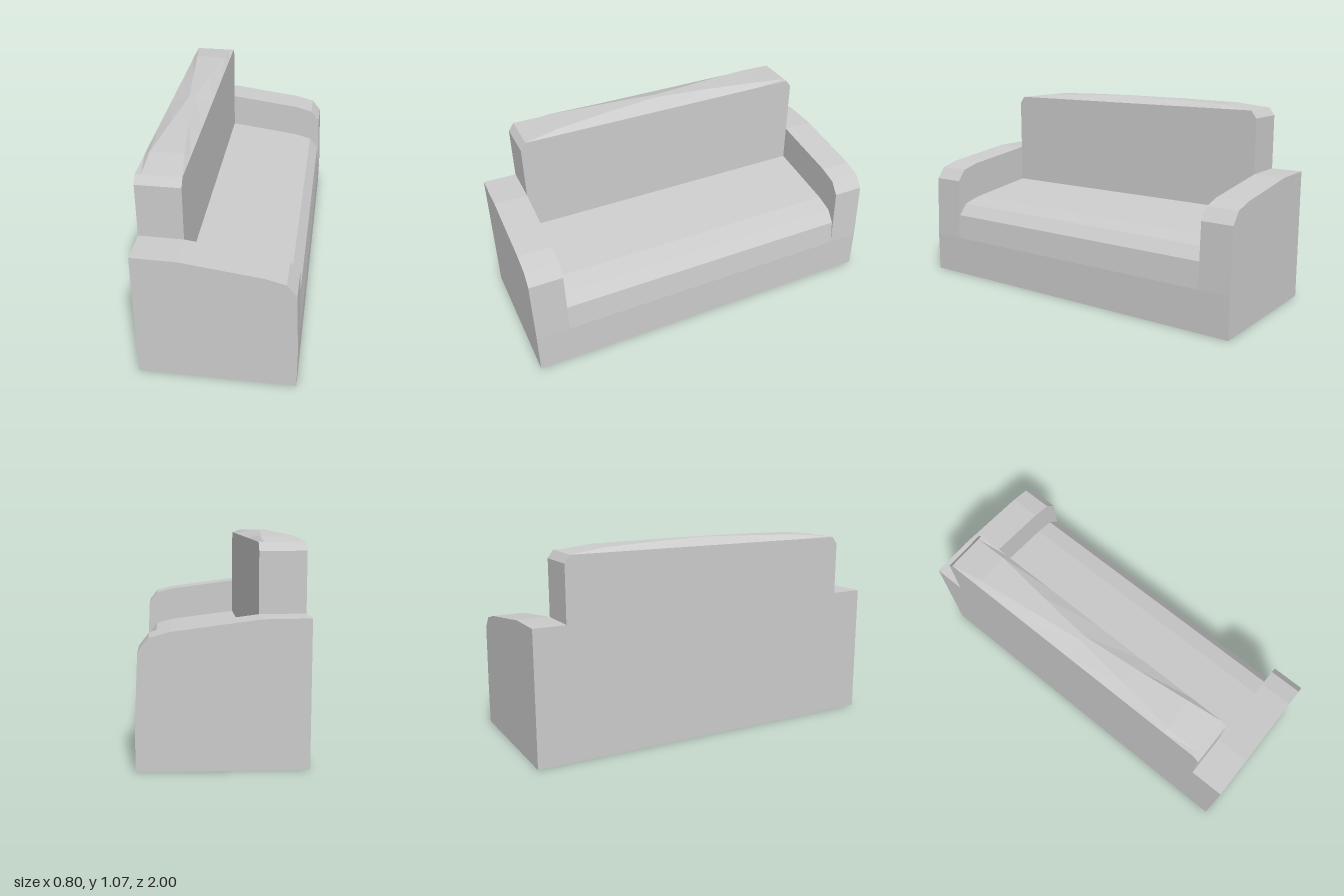
import * as THREE from 'three';

const material = new THREE.MeshStandardMaterial({ color: 0xcccccc, flatShading: true });
const Z_RIGHT = 0.82, Z_LEFT = -0.83;

// Side profile shared by arms and seat; only the rounded upper edge is lowered by drop
function profileSlab(name, drop, z0, z1) {
  const top = [[0.385, 0.565], [0.335, 0.628], [0.235, 0.655], [-0.175, 0.708], [-0.4, 0.71]];
  const points = [[-0.4, 0], [0.4, 0], [0.4, 0.22], ...top.map(([x, y]) => [x, y - drop])];
  const shape = new THREE.Shape(points.map(([x, y]) => new THREE.Vector2(x, y)));
  const geometry = new THREE.ExtrudeGeometry(shape, { depth: z1 - z0, bevelEnabled: false });
  geometry.translate(0, 0, z0);
  const mesh = new THREE.Mesh(geometry, material);
  mesh.name = name;
  return mesh;
}

// Backrest: cross-sections along z with a crowned top
function backrest() {
  const bottom = 0.49, xb = -0.4, xf = -0.175;
  // z, edge height, crown height, crown back x, crown front x
  const sections = [
    [Z_LEFT, 0.995, 0.995, -0.37, -0.2],
    [-0.8, 1.035, 1.035, -0.37, -0.2],
    [-0.615, 1.035, 1.056, -0.372, -0.203],
    [-0.3, 1.035, 1.065, -0.335, -0.24],
    [0, 1.035, 1.07, -0.3, -0.27],
    [0.3, 1.035, 1.065, -0.335, -0.24],
    [0.605, 1.035, 1.056, -0.372, -0.203],
    [0.79, 1.035, 1.035, -0.37, -0.2],
    [Z_RIGHT, 0.995, 0.995, -0.37, -0.2],
  ];
  const n = 6, last = sections.length - 1;
  const positions = [], index = [];
  for (const [z, edge, crown, x1, x2] of sections) {
    const ring = [[xb, bottom], [xb, edge], [x1, crown], [x2, crown], [xf, edge], [xf, bottom]];
    for (const [x, y] of ring) positions.push(x, y, z);
  }
  for (let s = 0; s < last; s++) {
    for (let i = 0; i < n; i++) {
      const j = (i + 1) % n;
      const a = s * n + i, b = s * n + j, c = b + n, d = a + n;
      index.push(a, d, c, a, c, b);
    }
  }
  // End caps
  const e = last * n;
  for (let i = 1; i < n - 1; i++) index.push(0, i, i + 1, e, e + i + 1, e + i);

  const indexed = new THREE.BufferGeometry();
  indexed.setAttribute('position', new THREE.Float32BufferAttribute(positions, 3));
  indexed.setIndex(index);
  const geometry = indexed.toNonIndexed();
  geometry.computeVertexNormals();
  const mesh = new THREE.Mesh(geometry, material);
  mesh.name = 'backrest';
  return mesh;
}

export function createModel() {
  const sofa = new THREE.Group();
  sofa.name = 'sofa';
  sofa.add(
    profileSlab('seatBase', 0.208, Z_LEFT, Z_RIGHT),
    profileSlab('nearArmrest', 0, Z_RIGHT, 1),
    profileSlab('farArmrest', 0.008, -1, Z_LEFT),
    backrest(),
  );
  return sofa;
}
